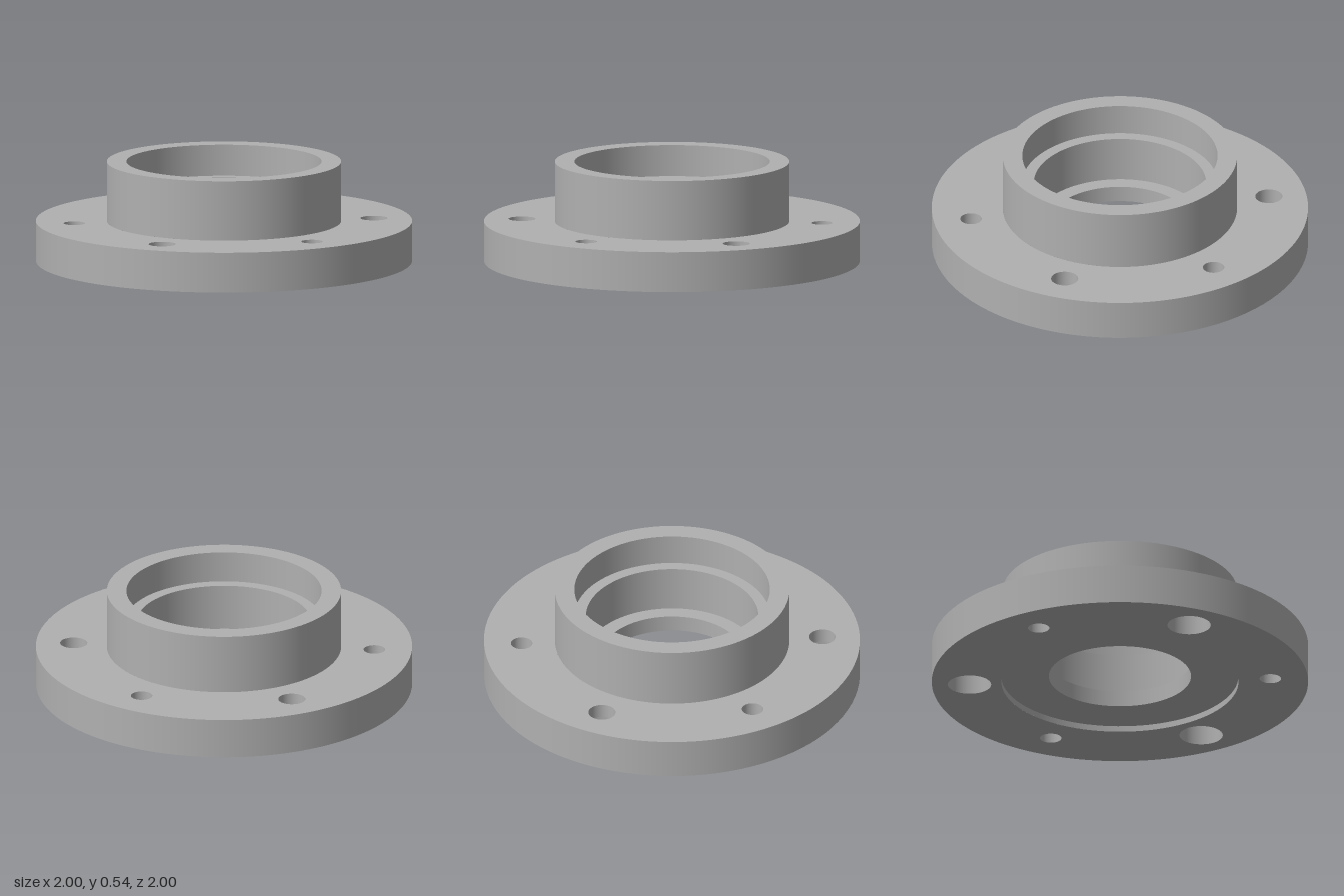
import * as THREE from 'three';
import { mergeGeometries } from 'three/addons/utils/BufferGeometryUtils.js';

const SEG = 96;
const FLANGE_TOP = 0.215;
const BOLT_CIRCLE = 0.8;

// Revolve a profile with a sharp edge at every corner; an upward run faces outward.
function revolve(points) {
  const bands = [];
  for (let i = 0; i < points.length - 1; i++) {
    const pair = [points[i], points[i + 1]].map(([r, y]) => new THREE.Vector2(r, y));
    bands.push(new THREE.LatheGeometry(pair, SEG));
  }
  return mergeGeometries(bands);
}

// Flat ring pierced by round holes, facing up or down at height y.
function piercedRing(innerRadius, holes, y, up) {
  const shape = new THREE.Shape().absarc(0, 0, 1, 0, Math.PI * 2);
  const pierce = (x, v, r) => shape.holes.push(new THREE.Path().absarc(x, v, r, 0, Math.PI * 2, true));
  pierce(0, 0, innerRadius);
  for (const h of holes) pierce(h.x, up ? -h.z : h.z, h.r);
  return new THREE.ShapeGeometry(shape, SEG).rotateX(up ? -Math.PI / 2 : Math.PI / 2).translate(0, y, 0);
}

export function createModel() {
  const group = new THREE.Group();
  const metal = new THREE.MeshStandardMaterial({ color: 0xb0b0b0 });
  metal.name = 'grey metal';
  const add = (name, geometry) => {
    const mesh = new THREE.Mesh(geometry, metal);
    mesh.name = name;
    group.add(mesh);
    return mesh;
  };

  // Six bolt holes, alternating counterbored and plain
  const bolts = [];
  for (let i = 0; i < 6; i++) {
    const a = (i * Math.PI) / 3;
    const large = i % 2 === 0;
    bolts.push({
      x: BOLT_CIRCLE * Math.sin(a), z: -BOLT_CIRCLE * Math.cos(a), large,
      top: large ? 0.072 : 0.057, bottom: large ? 0.115 : 0.057,
    });
  }

  // Flange disc
  add('flangeRim', revolve([[1, 0], [1, FLANGE_TOP]]));
  add('flangeTop', piercedRing(0.623, bolts.map(b => ({ x: b.x, z: b.z, r: b.top })), FLANGE_TOP, true));
  add('flangeBottom', piercedRing(0.63, bolts.map(b => ({ x: b.x, z: b.z, r: b.bottom })), 0, false));

  // Raised hub, stepped bore and shallow recess underneath
  add('hub', revolve([[0.623, FLANGE_TOP], [0.623, 0.535], [0.519, 0.535], [0.519, 0.368]]));
  add('steppedBore', revolve([[0.519, 0.368], [0.458, 0.368], [0.458, 0.12], [0.378, 0.12], [0.378, 0.032]]));
  add('bottomRecess', revolve([[0.378, 0.032], [0.63, 0.032], [0.63, 0]]));

  // Bolt hole walls
  const plain = revolve([[0.057, FLANGE_TOP], [0.057, 0]]);
  const counterbored = revolve([[0.072, FLANGE_TOP], [0.072, 0.14], [0.115, 0.14], [0.115, 0]]);
  for (const b of bolts) {
    add(b.large ? 'counterboredHole' : 'plainHole', b.large ? counterbored : plain).position.set(b.x, 0, b.z);
  }

  return group;
}
